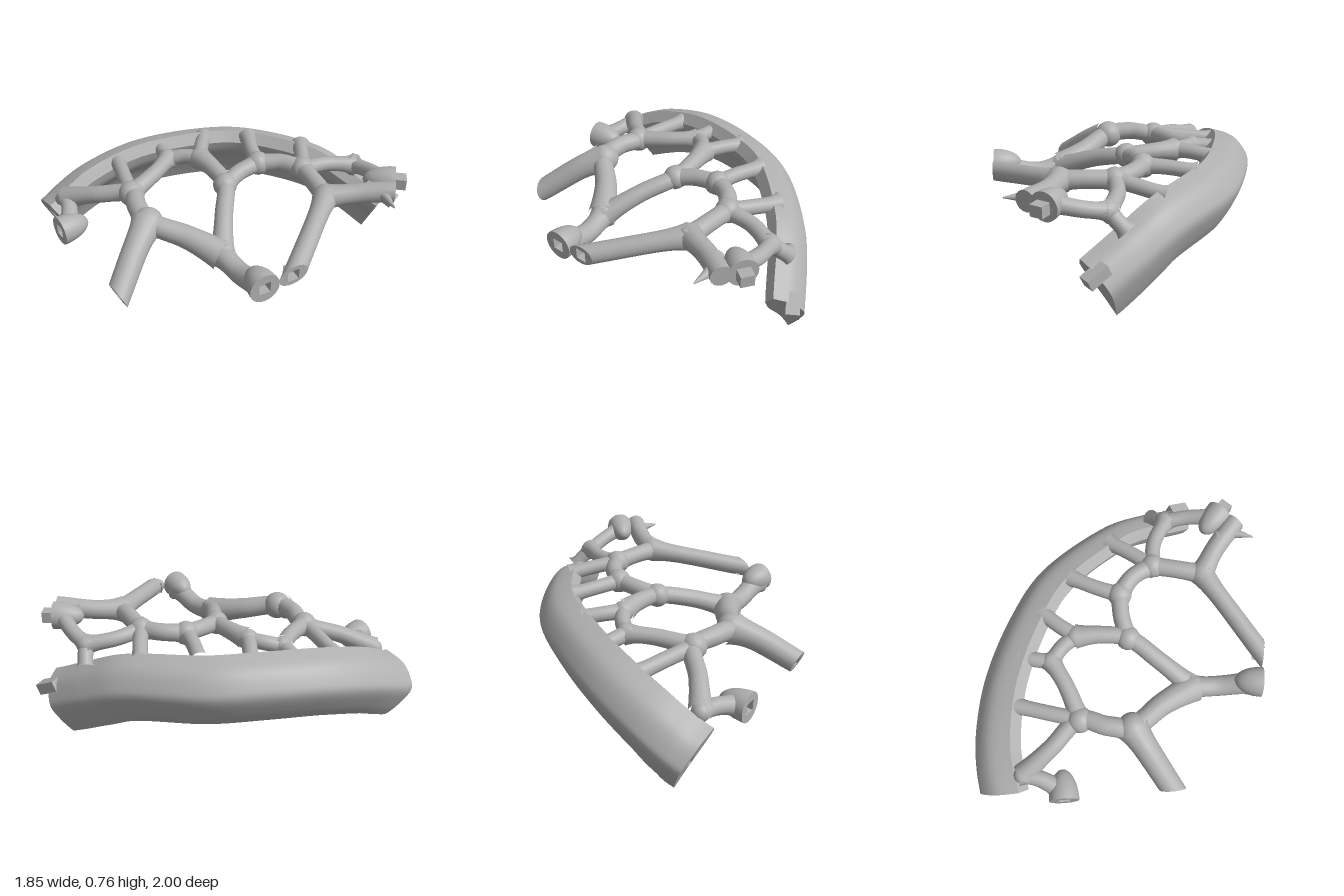
import * as THREE from 'three';

const V = (a) => new THREE.Vector3(...a);
const UP = new THREE.Vector3(0, 1, 0);
const grey = new THREE.MeshStandardMaterial({ color: 0xb0b0b0 });
grey.name = 'grey';

export function createModel() {
  const model = new THREE.Group();
  model.name = 'branchingFrame';
  const add = (name, geometry, parent = model) => {
    const mesh = new THREE.Mesh(geometry, grey);
    mesh.name = name;
    parent.add(mesh);
    return mesh;
  };

  // Flat end face over a ring of points, plain, with a square socket or with a square peg
  function endFace(name, ring, normal, kind, at) {
    const n = normal.clone().normalize();
    const u = new THREE.Vector3().crossVectors(UP, n).normalize();
    const v = new THREE.Vector3().crossVectors(n, u);
    const c = ring.reduce((s, p) => s.add(p), new THREE.Vector3()).divideScalar(ring.length);
    const shape = new THREE.Shape(ring.map((p) => {
      const d = p.clone().sub(c);
      return new THREE.Vector2(d.dot(u), d.dot(v));
    }));
    const w = 0.035;
    if (kind === 'socket') {
      shape.holes.push(new THREE.Path([[-w, -w], [-w, w], [w, w], [w, -w]].map((p) => new THREE.Vector2(...p))));
    }
    const end = new THREE.Group();
    end.name = name;
    end.applyMatrix4(new THREE.Matrix4().makeBasis(u, v, n).setPosition(c));
    add('endFace', new THREE.ShapeGeometry(shape), end);
    if (kind === 'socket') {
      // inside-out box shows the pocket walls
      add('socket', new THREE.BoxGeometry(2 * w, 2 * w, 0.06).scale(-1, 1, 1).translate(0, 0, -0.03), end);
    } else if (kind === 'peg') {
      const peg = add('peg', new THREE.BoxGeometry(0.08, 0.07, 0.14), end);
      if (at) {
        const d = V(at).sub(c);
        peg.position.set(d.dot(u), d.dot(v), 0);
      }
    }
    model.add(end);
  }

  // Swept rim: crescent section (inward, upward) carried square to the path
  const path = new THREE.CatmullRomCurve3([
    [-0.92, 0.19, 0.87], [-0.93, 0.24, 0.75], [-0.92, 0.32, 0.55], [-0.84, 0.41, 0.21], [-0.66, 0.455, -0.18],
    [-0.45, 0.46, -0.48], [-0.02, 0.42, -0.79], [0.2, 0.33, -0.9], [0.43, 0.22, -0.99],
  ].map(V));
  const P2 = (pts) => new THREE.SplineCurve(pts.map((p) => new THREE.Vector2(...p)));
  const strips = [
    ['rimOuter', P2([[0.11, -0.2], [0.055, -0.12], [0, 0], [0.025, 0.07], [0.11, 0.15], [0.25, 0.19]]).getPoints(24)],
    ['rimLip', P2([[0.25, 0.19], [0.31, 0.13]]).getPoints(2)],
    ['rimInner', P2([[0.31, 0.13], [0.28, 0.05], [0.2, -0.03], [0.15, -0.11], [0.11, -0.2]]).getPoints(16)],
  ];
  const onRim = (s, p) => {
    const t = path.getTangentAt(s);
    const n = new THREE.Vector3().crossVectors(t, UP).normalize();
    const up = new THREE.Vector3().crossVectors(n, t);
    return path.getPointAt(s).addScaledVector(n, p.x * (1 - 0.27 * s)).addScaledVector(up, p.y * 1.03);
  };
  const STEPS = 80;
  for (const [name, pts] of strips) {
    const pos = [], index = [], m = pts.length;
    for (let i = 0; i <= STEPS; i++) {
      pts.forEach((p, j) => {
        pos.push(...onRim(i / STEPS, p).toArray());
        if (i < STEPS && j < m - 1) {
          const a = i * m + j;
          index.push(a, a + 1, a + m, a + 1, a + m + 1, a + m);
        }
      });
    }
    const g = new THREE.BufferGeometry();
    g.setAttribute('position', new THREE.Float32BufferAttribute(pos, 3));
    g.setIndex(index);
    g.computeVertexNormals();
    add(name, g);
  }
  const outline = strips.flatMap(([, pts]) => pts.slice(0, -1));
  endFace('rimFrontEnd', outline.map((p) => onRim(0, p)), path.getTangentAt(0).negate(), 'socket');
  endFace('rimBackEnd', outline.map((p) => onRim(1, p)), path.getTangentAt(1), 'peg', [0.5, 0.34, -0.94]);

  // Round strut, flared at its ends; an optional plane {n, c} trims the far end
  function strut(name, points, r0, r1, flare = 0.025, cut, kind) {
    const curve = new THREE.CatmullRomCurve3(points.map(V));
    const SEG = 12 * points.length, SIDES = 18;
    const g = new THREE.TubeGeometry(curve, SEG, 1, SIDES);
    const pos = g.attributes.position, nor = g.attributes.normal;
    const dir = curve.getTangentAt(1), p = new THREE.Vector3(), ring = [];
    for (let i = 0; i < pos.count; i++) {
      const u = Math.floor(i / (SIDES + 1)) / SEG;
      const ends = cut ? Math.max(0, 1 - 2 * u) : Math.abs(2 * u - 1);
      const r = r0 + (r1 - r0) * u + flare * ends ** 5;
      p.fromBufferAttribute(nor, i).multiplyScalar(r).add(curve.getPointAt(u));
      if (cut) {
        const over = p.dot(cut.n) - cut.c;
        if (over > 0) p.addScaledVector(dir, -over / cut.n.dot(dir));
        if (u === 1 && i < pos.count - 1) ring.push(p.clone());
      }
      pos.setXYZ(i, p.x, p.y, p.z);
    }
    add(name, g);
    if (cut) endFace(name + 'End', ring, cut.n, kind);
  }
  const plane = (n, at) => {
    const d = V(n).normalize();
    return { n: d, c: d.dot(V(at)) };
  };

  // Shared junctions of the branches
  const A = [-0.63, 0.41, 0.82], B = [-0.26, 0.54, 0.54], F = [0.05, 0.545, 0.61], H = [0.45, 0.44, 0.36];
  const K = [0.07, 0.595, 0.06], L = [-0.25, 0.61, 0.03], P = [-0.41, 0.575, 0.17];
  const N = [0.04, 0.63, -0.22], Q = [0.26, 0.635, -0.4], R = [0.38, 0.6, -0.73], S = [0.57, 0.635, -0.32];
  [[B, 0.08], [F, 0.09], [H, 0.078], [K, 0.075], [L, 0.065], [P, 0.062], [N, 0.075], [Q, 0.075], [R, 0.062], [S, 0.078], [A, 0.055]]
    .forEach(([at, r]) => add('junction', new THREE.SphereGeometry(r, 20, 14)).position.set(...at));

  // Long front branch and cross branches
  strut('frontBranch', [A, [-0.45, 0.485, 0.69], B, [-0.1, 0.56, 0.595], F, [0.25, 0.495, 0.47], H], 0.048, 0.072);
  strut('frontBranchTip', [H, [0.62, 0.425, 0.36], [0.82, 0.48, 0.37]], 0.062, 0.065);
  strut('middleBranch', [L, [-0.1, 0.61, 0.03], K, [0.25, 0.54, 0.2], H], 0.052, 0.058);
  strut('linkKN', [K, [0.04, 0.62, -0.08], N], 0.053, 0.053);
  strut('linkLP', [L, [-0.34, 0.6, 0.09], P], 0.048, 0.048, 0.015);
  strut('linkPB', [P, [-0.33, 0.565, 0.33], B], 0.048, 0.056);
  strut('linkNQ', [N, [0.13, 0.64, -0.33], Q], 0.055, 0.055);
  strut('linkQR', [Q, [0.29, 0.62, -0.57], R], 0.048, 0.048);
  strut('linkQS', [Q, [0.42, 0.64, -0.36], S], 0.055, 0.058);

  // Short struts into the rim
  [
    [[-0.66, 0.51, 0.41], [-0.45, 0.53, 0.48], B], [[-0.6, 0.56, 0.12], [-0.5, 0.57, 0.15], P],
    [[-0.45, 0.6, -0.14], [-0.35, 0.61, -0.05], L], [[-0.26, 0.61, -0.37], [-0.1, 0.625, -0.28], N],
    [[0.0, 0.59, -0.61], [0.13, 0.615, -0.51], Q], [[0.3, 0.5, -0.8], [0.34, 0.55, -0.77], R],
  ].forEach((pts) => strut('rimStrut', pts, 0.046, 0.048, 0.022));

  // Trimmed legs
  const sidePlane = plane([1, 0, 0.18], [0.9, 0.52, 0.2]);
  const backPlane = plane([1, 0, -1], [0.73, 0.67, -0.73]);
  strut('frontLeg', [F, [0.13, 0.48, 0.74], [0.28, 0.31, 0.97], [0.36, 0.23, 1.09]], 0.08, 0.07, 0.03,
    plane([0, -0.35, 0.94], [0.28, 0.31, 0.96]), 'socket');
  strut('sideLeg', [S, [0.71, 0.59, -0.1], [0.88, 0.53, 0.17], [1.01, 0.49, 0.37]], 0.058, 0.062, 0.025, sidePlane, 'socket');
  strut('backLeg', [S, [0.67, 0.65, -0.48], [0.8, 0.675, -0.63], [0.93, 0.69, -0.78]], 0.06, 0.065, 0.025, backPlane);
  strut('backLegTail', [[0.69, 0.66, -0.54], [0.78, 0.67, -0.57], [0.92, 0.665, -0.54]], 0.06, 0.004, 0, backPlane);
  strut('frontFootArm', [A, [-0.53, 0.4, 0.85], [-0.42, 0.375, 0.91]], 0.047, 0.055);
  strut('backFootArm', [R, [0.52, 0.63, -0.73], [0.68, 0.67, -0.7]], 0.046, 0.05);

  // Domed feet with flat faces
  function foot(name, at, normal, radius, length, kind) {
    const n = V(normal).normalize();
    const dome = add(name, new THREE.SphereGeometry(1, 28, 14, 0, Math.PI * 2, 0, Math.PI / 2).scale(radius, length, radius));
    dome.position.set(...at);
    dome.quaternion.setFromUnitVectors(UP, n.clone().negate());
    dome.updateMatrix();
    const ring = Array.from({ length: 28 }, (_, i) => {
      const a = (i / 28) * Math.PI * 2;
      return new THREE.Vector3(radius * Math.cos(a), 0, radius * Math.sin(a)).applyMatrix4(dome.matrix);
    });
    endFace(name + 'End', ring, n, kind);
  }
  foot('frontFoot', [-0.39, 0.37, 0.99], [0, 0, 1], 0.092, 0.19, 'socket');
  foot('sideFoot', [0.875, 0.505, 0.38], [1, 0, 0.16], 0.092, 0.17, 'socket');
  foot('backFoot', [0.73, 0.67, -0.73], [1, 0, -1], 0.088, 0.19, 'peg');

  return model;
}
